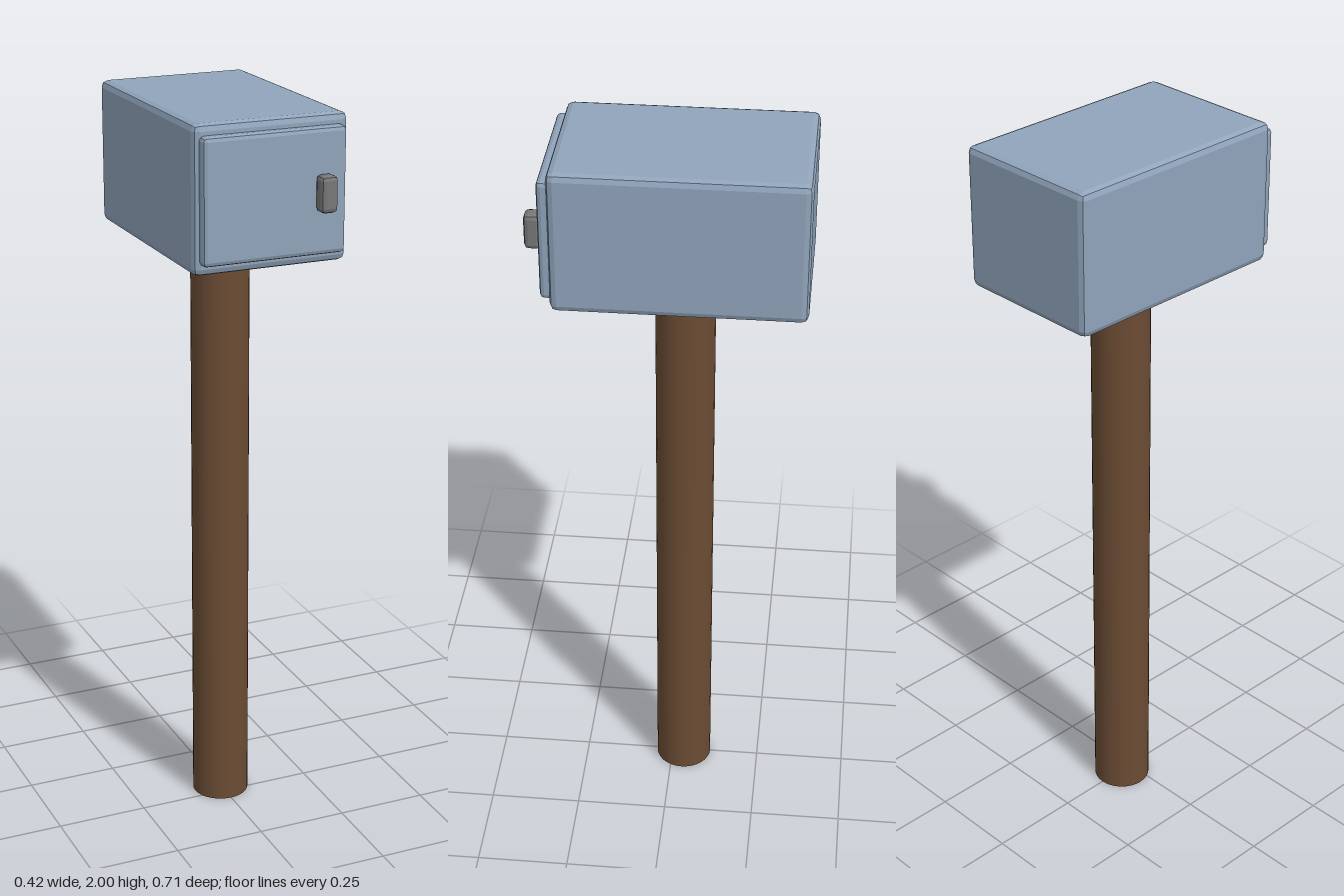
import * as THREE from 'three';
import { RoundedBoxGeometry } from 'three/addons/geometries/RoundedBoxGeometry.js';

const material = (name, color) => {
  const m = new THREE.MeshStandardMaterial({ color });
  m.name = name;
  return m;
};

export function createModel() {
  const model = new THREE.Group();
  model.name = 'mailbox';
  const metal = material('blue grey metal', 0x90a4bb);
  const wood = material('brown wood', 0x6b4c34);
  const steel = material('grey steel', 0x777777);

  // Box with faceted two-step bevels, given by its extents
  function bevelBox(name, mat, [x0, x1], [y0, y1], [z0, z1], radius) {
    const geo = new RoundedBoxGeometry(x1 - x0, y1 - y0, z1 - z0, 1, radius);
    geo.computeVertexNormals(); // unshared corners give flat facets
    const mesh = new THREE.Mesh(geo, mat);
    mesh.name = name;
    mesh.position.set((x0 + x1) / 2, (y0 + y1) / 2, (z0 + z1) / 2);
    model.add(mesh);
  }

  // Post, reaching just inside the box
  const post = new THREE.Mesh(new THREE.CylinderGeometry(0.078, 0.078, 1.64, 32), wood);
  post.name = 'post';
  post.position.set(0, 0.82, -0.033);
  model.add(post);

  // Box body, front door and door handle
  bevelBox('body', metal, [-0.208, 0.208], [1.622, 2], [-0.353, 0.287], 0.018);
  bevelBox('door', metal, [-0.193, 0.193], [1.65, 1.972], [0.262, 0.312], 0.012);
  bevelBox('handle', steel, [0.106, 0.152], [1.764, 1.858], [0.309, 0.353], 0.012);

  return model;
}
